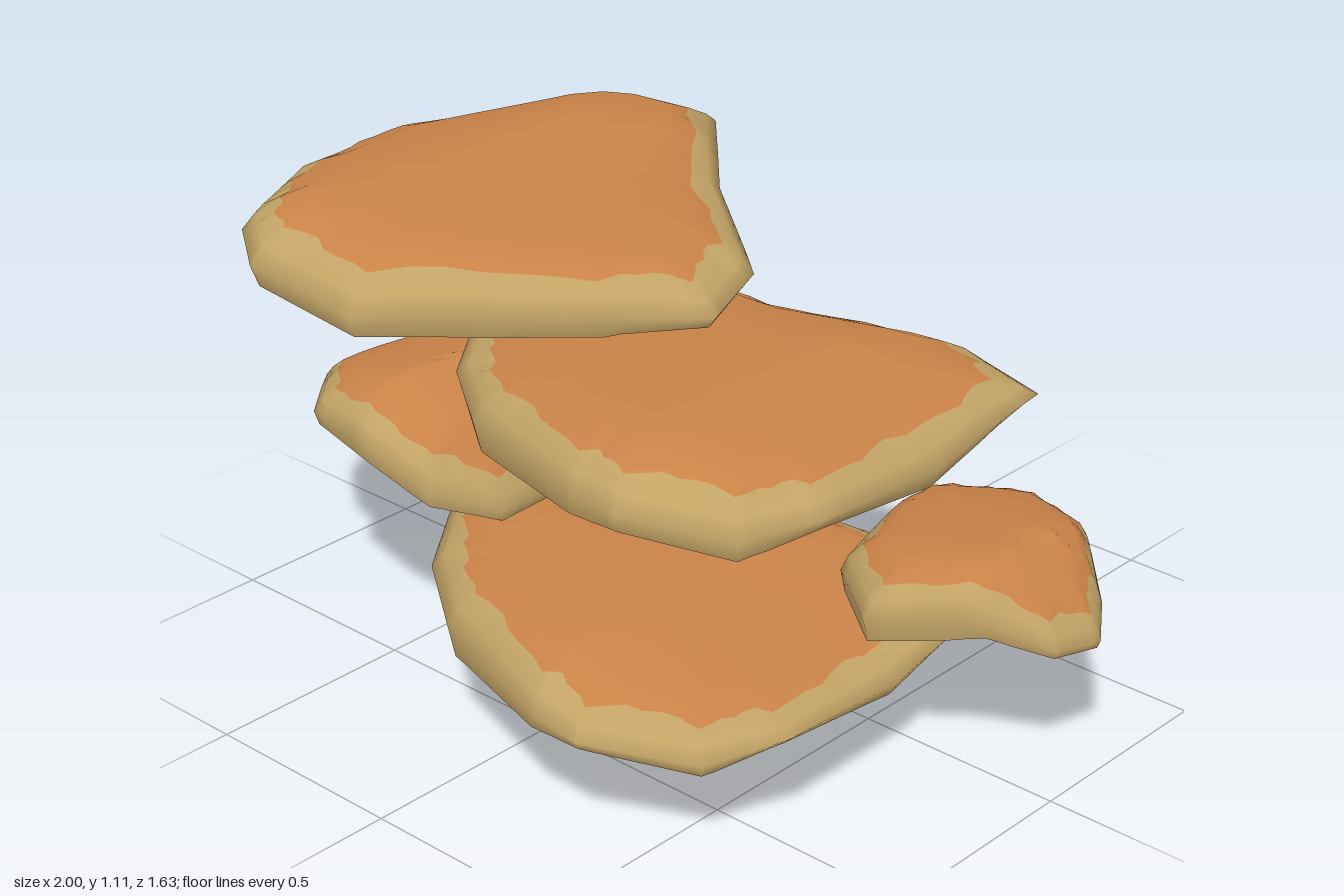
import * as THREE from 'three';

const sand = new THREE.MeshStandardMaterial({ color: 0xc2a366 });
sand.name = 'sandstone';
const clay = new THREE.MeshStandardMaterial({ color: 0xca8348 });
clay.name = 'orange clay';

const SUB = 6; // steps along each outline edge

// Piecewise linear height along x
function heightAt(profile, x) {
  if (x <= profile[0][0]) return profile[0][1];
  for (let i = 1; i < profile.length; i++) {
    const [a, ya] = profile[i - 1], [b, yb] = profile[i];
    if (x <= b) return ya + (yb - ya) * (x - a) / (b - a);
  }
  return profile[profile.length - 1][1];
}

// Surface through closed rings of equal length, listed from the bottom up
function skin(rings) {
  const n = rings[0].length, index = [];
  for (let k = 0; k < rings.length - 1; k++) {
    for (let j = 0; j < n; j++) {
      const a = k * n + j, b = k * n + (j + 1) % n;
      index.push(a, b, b + n, a, b + n, a + n);
    }
  }
  const geo = new THREE.BufferGeometry();
  geo.setAttribute('position', new THREE.Float32BufferAttribute(rings.flat(2), 3));
  geo.setIndex(index);
  geo.computeVertexNormals();
  return geo;
}

// outline: [x, z, lower edge height] counter-clockwise from above; profile: [x, top height];
// keel: lowest point; hollow: how concave the underside is left of the keel;
// tilt: slope down to the back; backDip: how far the back edge sinks
function makeSlab(name, { outline, profile, keel, hollow, tilt, backDip }) {
  const loop = outline.flatMap((p, i) => {
    const q = outline[(i + 1) % outline.length];
    return Array.from({ length: SUB }, (_, k) => p.map((v, c) => v + (q[c] - v) * k / SUB));
  });
  const cx = loop.reduce((s, p) => s + p[0], 0) / loop.length;
  const cz = loop.reduce((s, p) => s + p[1], 0) / loop.length;
  const back = Math.min(...outline.map((p) => p[1]));
  const front = Math.max(...outline.map((p) => p[1]));
  const top = (x, z) => heightAt(profile, x) - tilt * (front - z)
    - backDip * Math.max(0, 1 - (z - back) / 0.25) - 0.03 * Math.max(0, 1 - (front - z) / 0.15);

  // Point part of the way from the centre to the outline, dropped towards the lower edge
  const at = ([x, z, low], scale, drop) => {
    const px = cx + (x - cx) * scale, pz = cz + (z - cz) * scale;
    return [px, top(px, pz) - drop * (top(x, z) - low), pz];
  };
  const ring = (scale, drop) => loop.map((p) => at(p, scale, drop));
  const lowEdge = ring(0.97, 1);
  const under = (inset, fall, bend) => lowEdge.map(([x, y, z]) => {
    const dx = keel[0] - x, dz = keel[2] - z;
    const left = Math.max(0, dx / Math.hypot(dx, dz));
    return [x + dx * inset, y + (keel[1] - y) * (fall - bend * left), z + dz * inset];
  });
  // Uneven border of the orange cap
  const capEdge = loop.map((p, j) =>
    at(p, 0.865 + 0.018 * Math.sin(j * 0.9) + 0.014 * Math.sin(j * 2.1 + 1), 0.18));

  const underside = new THREE.Mesh(
    skin([under(1, 1, 0), under(0.88, 1, 0), under(0.7, 0.72, hollow), lowEdge]), sand);
  underside.name = 'underside';

  const topGeo = skin([lowEdge, ring(1, 0.6), ring(0.95, 0.36), capEdge, ring(0.75, 0.04),
    ring(0.5, 0), ring(0.3, 0), ring(0.12, 0), ring(0, 0)]);
  const rimCount = 3 * loop.length * 6;
  topGeo.addGroup(0, rimCount, 0);
  topGeo.addGroup(rimCount, topGeo.index.count - rimCount, 1);
  const cap = new THREE.Mesh(topGeo, [sand, clay]);
  cap.name = 'rimAndCap';

  const slab = new THREE.Group();
  slab.name = name;
  slab.add(underside, cap);
  return slab;
}

export function createModel() {
  const group = new THREE.Group();
  group.name = 'rockSlabs';

  group.add(makeSlab('topSlab', {
    outline: [[-1, 0, 0.96], [-0.94, 0.35, 0.97], [-0.75, 0.66, 0.98], [-0.62, 0.75, 0.95], [-0.31, 0.75, 0.92],
      [0.1, 0.4, 0.93], [0.24, 0.22, 0.93], [0.17, 0.02, 0.95], [-0.18, -0.26, 0.97], [-0.58, -0.69, 0.92],
      [-0.82, -0.5, 0.9], [-0.94, -0.2, 0.9]],
    profile: [[-1, 1.05], [-0.92, 1.08], [-0.67, 1.12], [-0.3, 1.09], [0.1, 1.07], [0.24, 1.03]],
    keel: [-0.2, 0.82, 0.04], hollow: 0.5, tilt: 0.03, backDip: 0.08,
  }));

  // The two broad slabs share one outline
  const broad = [[-0.54, 0.05, 0.71], [-0.46, 0.25, 0.71], [-0.3, 0.46, 0.7], [-0.08, 0.62, 0.69], [0.3, 0.74, 0.72],
    [0.45, 0.75, 0.73], [0.68, 0.64, 0.7], [0.76, 0.47, 0.74], [0.745, 0.1, 0.69], [0.7, -0.3, 0.74],
    [0.48, -0.37, 0.72], [0.07, -0.25, 0.7], [-0.2, -0.27, 0.7]];
  group.add(makeSlab('upperMiddleSlab', {
    outline: broad,
    profile: [[-0.54, 0.84], [0, 0.87], [0.38, 0.89], [0.58, 0.86], [0.76, 0.83]],
    keel: [0.48, 0.56, -0.03], hollow: 0.5, tilt: 0.04, backDip: 0.03,
  }));
  group.add(makeSlab('lowerMiddleSlab', {
    outline: broad.map(([x, z, low]) => [x - 0.05, z + 0.05 + 0.02 * (z > 0.7), low - 0.49]),
    profile: [[-0.58, 0.38], [-0.38, 0.39], [0.25, 0.38], [0.42, 0.34], [0.7, 0.3]],
    keel: [0.38, 0.04, 0.08], hollow: 0.5, tilt: 0.02, backDip: 0.03,
  }));

  group.add(makeSlab('upperSideSlab', {
    outline: [[-0.86, 0.35, 0.51], [-0.7, 0.53, 0.52], [-0.5, 0.57, 0.51], [-0.33, 0.53, 0.43], [-0.23, 0.4, 0.38],
      [-0.23, 0.05, 0.39], [-0.36, -0.15, 0.45], [-0.52, -0.22, 0.53], [-0.78, -0.02, 0.5]],
    profile: [[-0.86, 0.58], [-0.76, 0.62], [-0.52, 0.67], [-0.36, 0.59], [-0.23, 0.47]],
    keel: [-0.53, 0.52, 0.2], hollow: 0, tilt: 0.01, backDip: 0.02,
  }));
  group.add(makeSlab('rightSideSlab', {
    outline: [[0.33, -0.34, 0.34], [0.46, 0.06, 0.33], [0.64, 0.2, 0.33], [0.87, 0.08, 0.37], [0.98, -0.02, 0.32],
      [1, -0.15, 0.3], [0.93, -0.25, 0.31], [0.8, -0.38, 0.33], [0.58, -0.49, 0.35], [0.46, -0.45, 0.35]],
    profile: [[0.33, 0.4], [0.42, 0.47], [0.82, 0.52], [1, 0.38]],
    keel: [0.68, 0.27, -0.25], hollow: 0, tilt: 0.04, backDip: 0.03,
  }));
  group.add(makeSlab('bottomSlab', {
    outline: [[-0.35, -0.81, 0.13], [-0.55, -0.78, 0.13], [-0.87, -0.52, 0.13], [-0.94, -0.33, 0.14],
      [-0.93, -0.12, 0.13], [-0.8, 0.03, 0.12], [-0.5, 0.1, 0.1], [-0.16, -0.02, 0.08], [-0.29, -0.35, 0.1]],
    profile: [[-0.94, 0.235], [-0.6, 0.25], [-0.16, 0.165]],
    keel: [-0.42, 0, -0.15], hollow: 0, tilt: 0, backDip: 0.02,
  }));
  return group;
}
